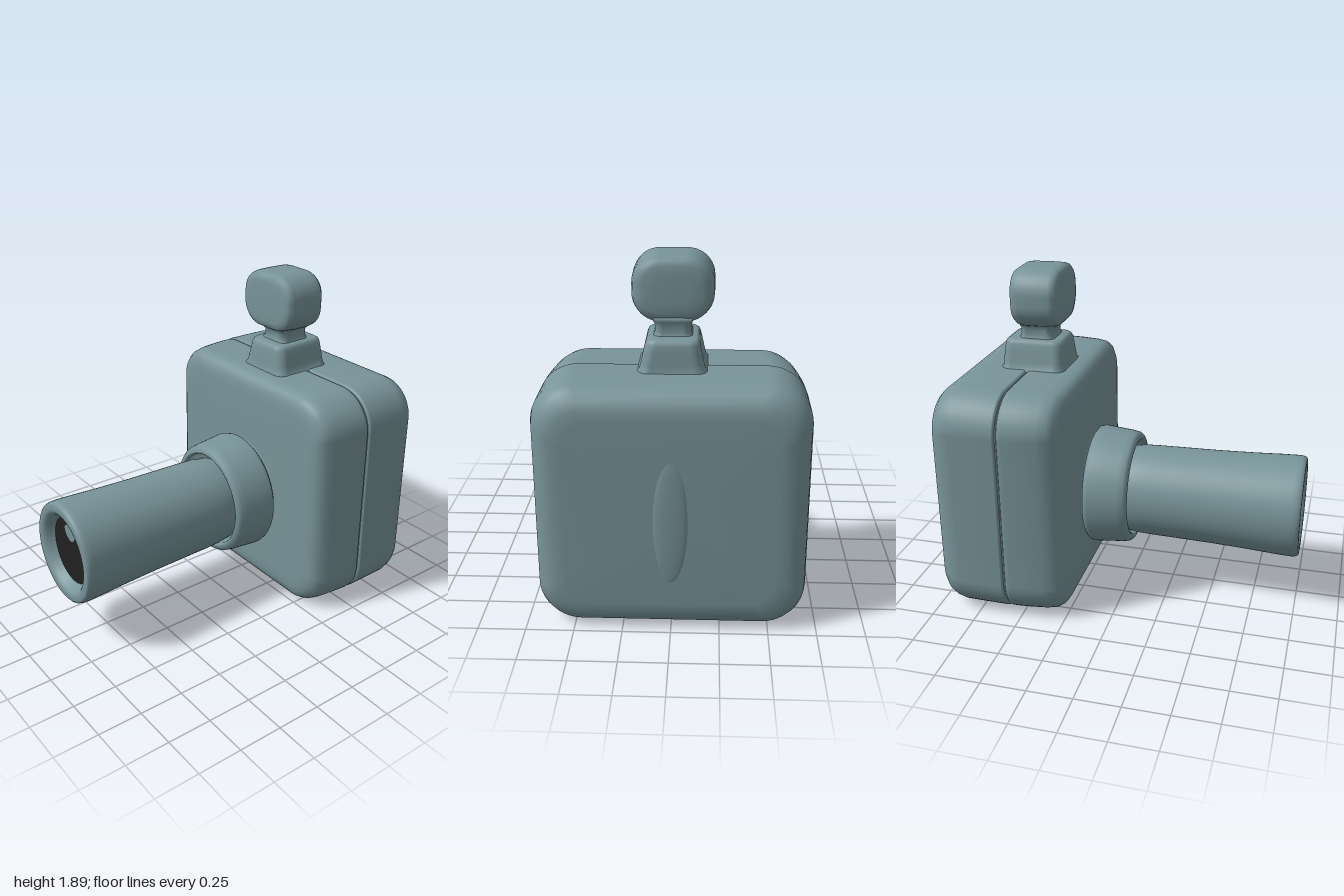
import * as THREE from 'three';

const bodyMat = new THREE.MeshStandardMaterial({ name: 'slate teal', color: 0x78949a });
const lensMat = new THREE.MeshStandardMaterial({ name: 'lens black', color: 0x222222 });

function add(group, name, geometry, material = bodyMat) {
  const mesh = new THREE.Mesh(geometry, material);
  mesh.name = name;
  group.add(mesh);
  return mesh;
}

// Outline of a rounded rectangle, counter-clockwise
function roundedRing([z, hw, hh, r, cy = 0], steps = 10) {
  const pts = [];
  r = Math.min(r, hw, hh);
  for (let k = 0; k < 4; k++) {
    const sx = k === 0 || k === 3 ? 1 : -1, sy = k < 2 ? 1 : -1;
    for (let i = 0; i <= steps; i++) {
      const a = (k + i / steps) * Math.PI / 2;
      pts.push(sx * (hw - r) + r * Math.cos(a), cy + sy * (hh - r) + r * Math.sin(a), z);
    }
  }
  return pts;
}

// Skin over rounded sections [z, halfWidth, halfHeight, radius, centreY], closed at both ends
function loft(sections) {
  const pos = [], idx = [], rows = sections.length;
  sections.forEach(s => pos.push(...roundedRing(s)));
  const n = pos.length / 3 / rows;
  for (let i = 0; i < rows - 1; i++) {
    for (let j = 0; j < n; j++) {
      const a = i * n + j, b = i * n + (j + 1) % n;
      idx.push(a, b, b + n, a, b + n, a + n);
    }
  }
  const first = sections[0], last = sections[rows - 1], c = n * rows;
  pos.push(0, first[4] || 0, first[0], 0, last[4] || 0, last[0]);
  for (let j = 0; j < n; j++) {
    const k = (j + 1) % n, top = (rows - 1) * n;
    idx.push(c, k, j, c + 1, top + j, top + k);
  }
  const g = new THREE.BufferGeometry();
  g.setAttribute('position', new THREE.Float32BufferAttribute(pos, 3));
  g.setIndex(idx);
  g.computeVertexNormals();
  return g;
}

// Turned part along z, slightly taller than wide; profile is [radius, z]
function turned(profile, cy) {
  const g = new THREE.LatheGeometry(profile.map(p => new THREE.Vector2(...p)), 64);
  return g.rotateX(Math.PI / 2).scale(1, 1.06, 1).translate(0, cy, 0);
}

export function createModel() {
  const model = new THREE.Group();
  model.name = 'cameraModel';
  const mid = 0.66;

  // Two body shells with a narrow seam between them
  add(model, 'frontShell', loft([
    [-0.575, 0.66, 0.63, 0.2, mid], [-0.573, 0.682, 0.648, 0.21, mid],
    [-0.565, 0.693, 0.657, 0.215, mid], [-0.54, 0.694, 0.658, 0.215, mid],
    [-0.45, 0.687, 0.658, 0.215, mid], [-0.36, 0.673, 0.656, 0.21, mid],
    [-0.31, 0.657, 0.65, 0.2, mid], [-0.28, 0.635, 0.635, 0.19, mid],
    [-0.262, 0.605, 0.61, 0.18, mid], [-0.254, 0.565, 0.575, 0.16, mid],
    [-0.25, 0.5, 0.52, 0.14, mid], [-0.247, 0.3, 0.3, 0.1, mid]]));
  add(model, 'seam', loft([
    [-0.6, 0.682, 0.646, 0.21, mid], [-0.55, 0.682, 0.646, 0.21, mid]]));
  add(model, 'backShell', loft([
    [-0.987, 0.3, 0.3, 0.1, mid], [-0.985, 0.53, 0.5, 0.14, mid],
    [-0.978, 0.59, 0.555, 0.16, mid], [-0.96, 0.63, 0.595, 0.18, mid],
    [-0.93, 0.662, 0.627, 0.195, mid], [-0.89, 0.684, 0.647, 0.21, mid],
    [-0.84, 0.694, 0.657, 0.215, mid], [-0.7, 0.695, 0.659, 0.215, mid],
    [-0.595, 0.695, 0.66, 0.215, mid], [-0.587, 0.692, 0.657, 0.215, mid],
    [-0.581, 0.682, 0.648, 0.21, mid], [-0.579, 0.66, 0.63, 0.2, mid]]));

  // Shallow swelling on the back panel
  const swelling = add(model, 'backSwelling', new THREE.SphereGeometry(1, 32, 24));
  swelling.scale.set(0.09, 0.34, 0.018);
  swelling.position.set(0, 0.62, -0.982);

  // Collar and its footing
  add(model, 'collarFooting', turned([
    [0.34, -0.252], [0.31, -0.248], [0.285, -0.24], [0.275, -0.225], [0.275, -0.2]], 0.578));
  add(model, 'collar', turned([
    [0.2, -0.232], [0.29, -0.232], [0.315, -0.228], [0.328, -0.215], [0.333, -0.195],
    [0.326, -0.12], [0.318, -0.03], [0.312, 0.005], [0.3, 0.022], [0.28, 0.028],
    [0.272, 0.026], [0.266, 0.015], [0.264, -0.02], [0.2, -0.02]], 0.578));

  // Long lens barrel with a funnel-shaped mouth
  add(model, 'barrel', turned([
    [0.235, -0.05], [0.244, 0.02], [0.25, 0.06], [0.253, 0.14], [0.256, 0.3], [0.26, 0.5],
    [0.267, 0.7], [0.275, 0.86], [0.278, 0.95], [0.277, 0.975], [0.272, 0.992],
    [0.262, 1], [0.235, 1], [0.222, 0.996], [0.208, 0.982], [0.196, 0.96],
    [0.185, 0.943], [0.175, 0.935]], 0.57));
  const lens = add(model, 'lensGlass', new THREE.CircleGeometry(1, 48), lensMat);
  lens.scale.set(0.184, 0.204, 1);
  lens.position.set(0, 0.567, 0.942);

  // Glint: a thin oval, flatter on top
  const glint = new THREE.Shape();
  glint.moveTo(-0.058, 0.012);
  glint.bezierCurveTo(-0.045, 0.06, 0.045, 0.06, 0.058, 0.012);
  glint.bezierCurveTo(0.058, -0.025, 0.03, -0.05, 0.008, -0.05);
  glint.bezierCurveTo(-0.025, -0.05, -0.058, -0.022, -0.058, 0.012);
  add(model, 'lensGlint', new THREE.ShapeGeometry(glint, 16)).position.set(0, 0.68, 0.947);

  // Pedestal and neck, skinned upwards
  const upright = sections => loft(sections).rotateX(-Math.PI / 2);
  add(model, 'pedestal', upright([
    [1.29, 0.185, 0.19, 0.06, 0.555], [1.315, 0.178, 0.188, 0.06, 0.555],
    [1.328, 0.166, 0.181, 0.055, 0.555], [1.36, 0.158, 0.178, 0.055, 0.555],
    [1.42, 0.145, 0.174, 0.055, 0.555], [1.455, 0.137, 0.17, 0.055, 0.555],
    [1.472, 0.13, 0.162, 0.05, 0.555], [1.481, 0.118, 0.148, 0.045, 0.553],
    [1.483, 0.09, 0.11, 0.04, 0.55]]));
  add(model, 'neck', upright([
    [1.46, 0.105, 0.11, 0.04, 0.545], [1.485, 0.097, 0.102, 0.04, 0.545],
    [1.5, 0.091, 0.096, 0.04, 0.545], [1.535, 0.091, 0.097, 0.04, 0.545],
    [1.555, 0.1, 0.11, 0.045, 0.54], [1.58, 0.12, 0.125, 0.05, 0.535]]));

  // Rounded viewfinder head
  add(model, 'viewfinderHead', loft([
    [-0.668, 0.09, 0.07, 0.06, 1.72], [-0.665, 0.145, 0.118, 0.09, 1.72],
    [-0.655, 0.175, 0.143, 0.11, 1.72], [-0.635, 0.195, 0.16, 0.13, 1.718],
    [-0.6, 0.205, 0.166, 0.14, 1.718], [-0.5, 0.208, 0.166, 0.14, 1.72],
    [-0.43, 0.207, 0.162, 0.138, 1.723], [-0.405, 0.2, 0.156, 0.13, 1.723],
    [-0.391, 0.184, 0.141, 0.12, 1.723], [-0.386, 0.155, 0.115, 0.095, 1.723],
    [-0.384, 0.09, 0.06, 0.05, 1.723]]));

  return model;
}
